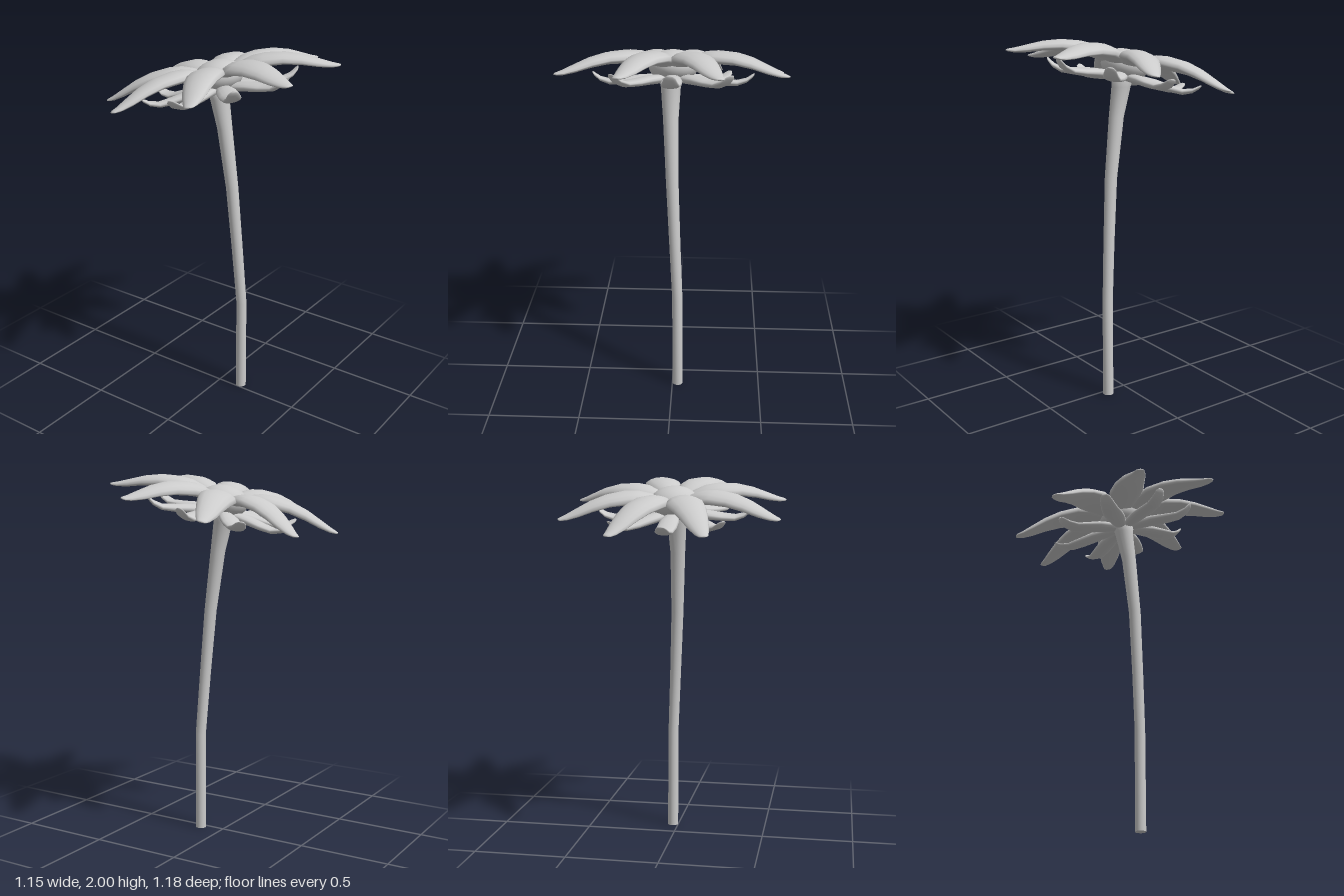
import * as THREE from 'three';

const material = new THREE.MeshStandardMaterial({ color: 0xcccccc });

// Closed smooth skin over a row of equal-sized rings, with a fan at each end.
function loft(rings) {
  const n = rings[0].length;
  const points = rings.flat();
  const index = [];
  for (let i = 0; i < rings.length - 1; i++) {
    for (let k = 0; k < n; k++) {
      const a = i * n + k, b = i * n + (k + 1) % n;
      index.push(a, b + n, b, a, a + n, b + n);
    }
  }
  for (const [i, flip] of [[0, false], [rings.length - 1, true]]) {
    const mid = new THREE.Vector3();
    rings[i].forEach((p) => mid.addScaledVector(p, 1 / n));
    const c = points.push(mid) - 1;
    for (let k = 0; k < n; k++) {
      const a = i * n + k, b = i * n + (k + 1) % n;
      index.push(c, flip ? b : a, flip ? a : b);
    }
  }
  const geometry = new THREE.BufferGeometry().setFromPoints(points);
  geometry.setIndex(index);
  geometry.computeVertexNormals();
  return geometry;
}

function ring(sides, place) {
  return Array.from({ length: sides }, (_, k) => {
    const a = (k / sides) * Math.PI * 2;
    return place(Math.cos(a), Math.sin(a));
  });
}

// Leaf-like blade along +x; each section is [distance, height, half width, thickness].
function blade(sections, under) {
  return loft(sections.map(([x, h, w, t]) => ring(14, (c, s) =>
    new THREE.Vector3(x, h + s * t * (s > 0 ? 1 : under), c * w))));
}

function addAround(parent, geometry, name, count, offset) {
  for (let i = 0; i < count; i++) {
    const mesh = new THREE.Mesh(geometry, material);
    mesh.name = name + (i + 1);
    mesh.rotation.y = offset + (i / count) * Math.PI * 2;
    parent.add(mesh);
  }
}

export function createModel() {
  const flower = new THREE.Group();
  flower.name = 'flower';

  // Bent stem, widening under the head: [x, y, z, radius]; doubled first ring keeps the foot crisp
  const stemSections = [
    [0.13, 0, -0.03, 0.03],
    [0.13, 0, -0.03, 0.03],
    [0.13, 0.55, -0.028, 0.029],
    [0.108, 0.9, -0.012, 0.031],
    [0.083, 1.25, 0.003, 0.034],
    [0.04, 1.58, 0.012, 0.041],
    [0.008, 1.74, 0.013, 0.052],
    [-0.005, 1.83, 0.01, 0.068],
  ];
  const stem = new THREE.Mesh(loft(stemSections.map(([x, y, z, r]) =>
    ring(16, (c, s) => new THREE.Vector3(x + c * r, y, z + s * r)))), material);
  stem.name = 'stem';
  flower.add(stem);

  // Tilted flower head
  const head = new THREE.Group();
  head.name = 'flowerHead';
  head.position.set(0, 1.82, 0);
  head.rotation.z = 0.226;
  flower.add(head);

  const disc = new THREE.Mesh(new THREE.SphereGeometry(0.13, 28, 16), material);
  disc.name = 'centreDisc';
  disc.scale.y = 0.65;
  disc.position.y = 0.035;
  head.add(disc);

  // Large arched petals
  const petal = blade([
    [0.04, 0.02, 0.025, 0.02],
    [0.12, 0.05, 0.062, 0.04],
    [0.19, 0.065, 0.088, 0.046],
    [0.26, 0.07, 0.1, 0.045],
    [0.36, 0.063, 0.087, 0.041],
    [0.45, 0.042, 0.071, 0.036],
    [0.53, 0.015, 0.054, 0.028],
    [0.59, -0.002, 0.036, 0.018],
    [0.622, -0.006, 0.025, 0.01],
    [0.632, -0.006, 0.014, 0.005],
  ], 0.5);
  addAround(head, petal, 'petal', 8, Math.PI / 8);

  // Smaller lower leaves with upturned tips
  const sepal = blade([
    [0.03, -0.03, 0.025, 0.018],
    [0.1, -0.03, 0.042, 0.024],
    [0.18, -0.035, 0.053, 0.024],
    [0.26, -0.045, 0.054, 0.02],
    [0.33, -0.05, 0.047, 0.016],
    [0.38, -0.035, 0.039, 0.013],
    [0.41, -0.013, 0.029, 0.01],
    [0.42, -0.003, 0.016, 0.005],
  ], 1);
  addAround(head, sepal, 'sepal', 8, 0);

  return flower;
}
